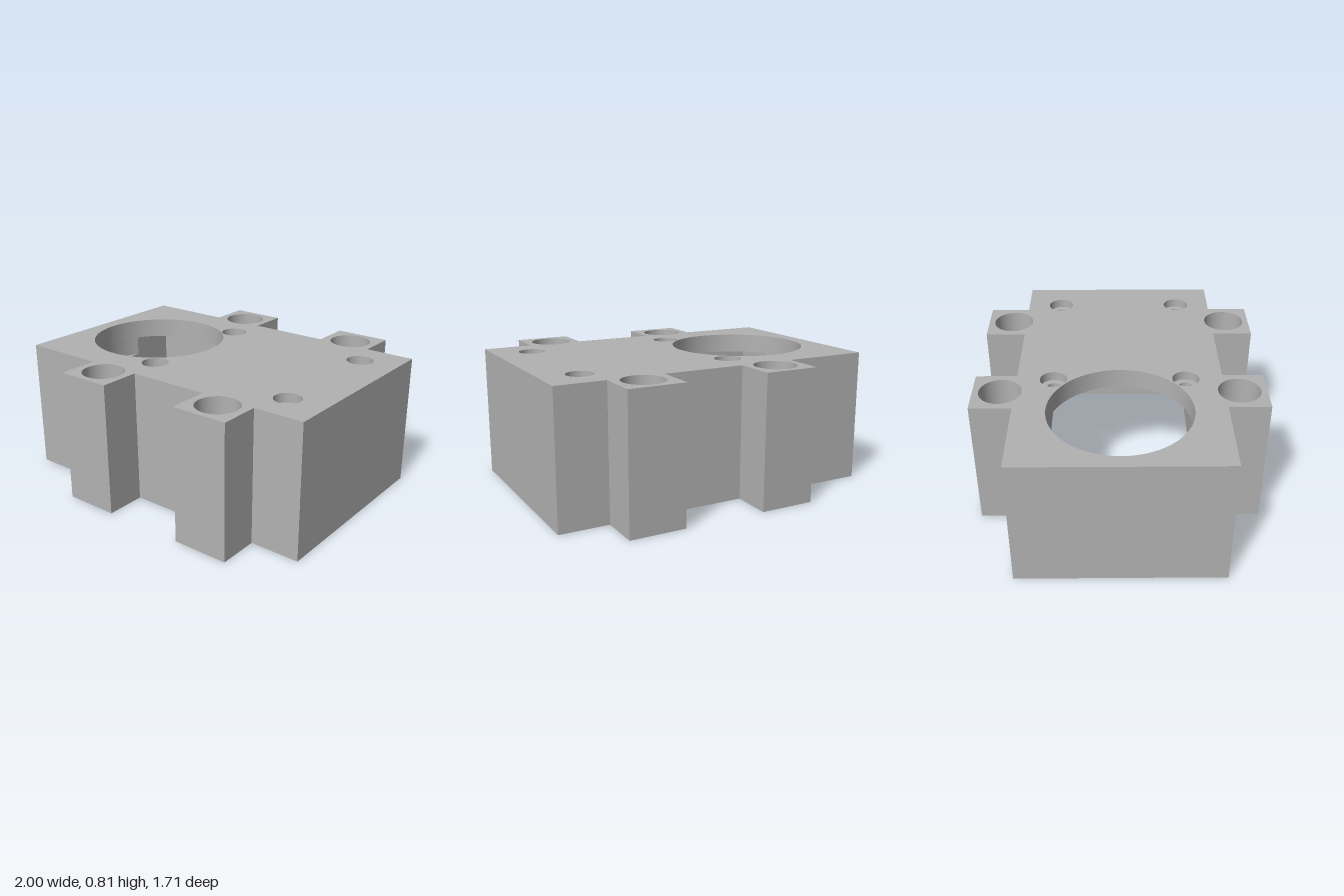
import * as THREE from 'three';
import { toCreasedNormals } from 'three/addons/utils/BufferGeometryUtils.js';

const HEIGHT = 0.805, CEILING = 0.685, LEDGE = 0.565;
const CAV_X = 0.87, CAV_Z = 0.48;
const PORT = { x: -0.495, r: 0.418 };

// Plan points are [x, -z]; counter-clockwise paths face outward.
function arc(cx, cy, r, from, to, n = 64) {
  return Array.from({ length: n + 1 }, (_, i) => {
    const a = from + (to - from) * i / n;
    return [cx + r * Math.cos(a), cy + r * Math.sin(a)];
  });
}
const circle = (x, y, r) => arc(x, y, r, 2 * Math.PI, 0);
const toVectors = pts => pts.map(([x, y]) => new THREE.Vector2(x, y));

export function createModel() {
  const group = new THREE.Group();
  const material = new THREE.MeshStandardMaterial({ color: 0xb2b2b2 });
  material.name = 'plain grey';

  function add(name, geometry) {
    const mesh = new THREE.Mesh(geometry, material);
    mesh.name = name;
    group.add(mesh);
  }

  // Vertical wall that follows a plan path
  function wall(name, pts, y0, y1) {
    const v = [];
    for (let i = 0; i < pts.length - 1; i++) {
      const [ax, as] = pts[i], [bx, bs] = pts[i + 1];
      v.push(ax, y0, -as, bx, y0, -bs, bx, y1, -bs);
      v.push(ax, y0, -as, bx, y1, -bs, ax, y1, -as);
    }
    const g = new THREE.BufferGeometry();
    g.setAttribute('position', new THREE.Float32BufferAttribute(v, 3));
    add(name, toCreasedNormals(g, 0.5));
  }

  // Horizontal face with holes, looking up or down
  function face(name, pts, holes, y, up) {
    const shape = new THREE.Shape(toVectors(pts));
    shape.holes = holes.map(h => new THREE.Path(toVectors(h.slice(0, -1))));
    const g = new THREE.ShapeGeometry(shape);
    g.rotateX(up ? -Math.PI / 2 : Math.PI / 2);
    g.translate(0, y, 0);
    add(name, g);
  }

  // Block outline with two lugs on each long side
  const D = 0.608, T = 0.853;
  const front = [[-1, -D], [-0.475, -D], [-0.475, -T], [-0.14, -T], [-0.14, -D],
    [0.36, -D], [0.36, -T], [0.7, -T], [0.7, -D], [1, -D]];
  const outline = [...front, ...front.map(([x, s]) => [x, -s]).reverse()];

  // Stepped holes: lug bolts and lid screws
  const holes = [];
  for (const side of [-1, 1]) {
    for (const x of [-0.307, 0.53])
      holes.push({ name: 'lugBolt', x, s: side * 0.692, head: 0.125, shank: 0.066, seat: 0.6, bottom: 0 });
    for (const x of [-0.178, 0.765])
      holes.push({ name: 'lidScrew', x, s: side * 0.391, head: 0.08, shank: 0.043, seat: 0.75, bottom: CEILING });
  }
  const shanks = name => holes.filter(h => h.name === name).map(h => circle(h.x, h.s, h.shank));

  for (const h of holes) {
    const head = circle(h.x, h.s, h.head), shank = circle(h.x, h.s, h.shank);
    wall(h.name + 'Counterbore', head, h.seat, HEIGHT);
    face(h.name + 'Seat', head.slice(0, -1), [shank], h.seat, true);
    wall(h.name + 'Shank', shank, h.bottom, h.seat);
  }

  // Outer shell
  const port = circle(PORT.x, 0, PORT.r);
  wall('outerWall', [...outline, outline[0]], 0, HEIGHT);
  face('topFace', outline, [port, ...holes.map(h => circle(h.x, h.s, h.head))], HEIGHT, true);
  const cavity = [[-CAV_X, -CAV_Z], [CAV_X, -CAV_Z], [CAV_X, CAV_Z], [-CAV_X, CAV_Z]];
  face('bottomRim', outline, [[...cavity, cavity[0]], ...shanks('lugBolt')], 0, false);

  // Round port, cutting a shallow notch into the end wall
  const alpha = Math.acos((CAV_X + PORT.x) / PORT.r);
  const chord = PORT.r * Math.sin(alpha);
  wall('portWall', port, CEILING, HEIGHT);
  const notch = arc(PORT.x, 0, PORT.r, Math.PI + alpha, Math.PI - alpha, 16);
  wall('notchWall', notch, LEDGE, CEILING);
  face('notchLedge', notch, [], LEDGE, true);

  // Cavity, open at the bottom
  wall('cavityWall', [[-CAV_X, chord], [-CAV_X, CAV_Z], [CAV_X, CAV_Z],
    [CAV_X, -CAV_Z], [-CAV_X, -CAV_Z], [-CAV_X, -chord]], 0, CEILING);
  wall('cavityWallBelowNotch', [[-CAV_X, -chord], [-CAV_X, chord]], 0, LEDGE);
  const bite = arc(PORT.x, 0, PORT.r, Math.PI - alpha, alpha - Math.PI, 56);
  face('cavityCeiling', [...cavity, ...bite], shanks('lidScrew'), CEILING, false);

  return group;
}
